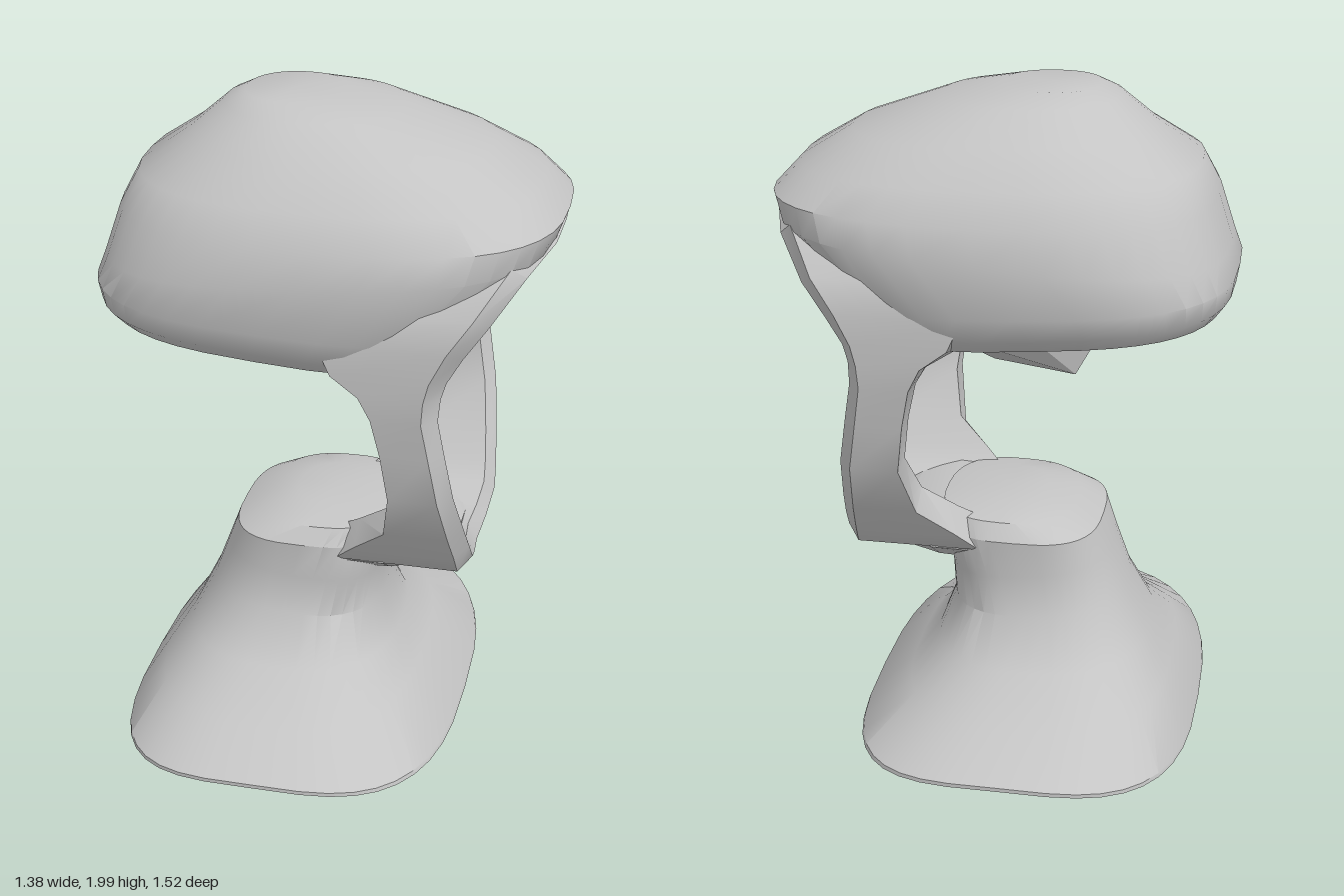
import * as THREE from 'three';
import { toCreasedNormals } from 'three/addons/utils/BufferGeometryUtils.js';
import { ConvexGeometry } from 'three/addons/geometries/ConvexGeometry.js';

const SIDES = 40;

// Skin a list of closed cross-sections and cap both ends.
function loft(rings, crease = 0.6) {
  const n = rings[0].length;
  const pos = rings.flat(2);
  const index = [];
  for (let i = 0; i < rings.length - 1; i++) {
    for (let j = 0; j < n; j++) {
      const k = (j + 1) % n;
      const a = i * n + j, b = i * n + k, c = a + n, d = b + n;
      index.push(a, c, b, b, c, d);
    }
  }
  const cap = (start, flip) => {
    const centre = pos.length / 3;
    const sum = [0, 0, 0];
    for (let j = 0; j < n; j++) for (let c = 0; c < 3; c++) sum[c] += pos[(start + j) * 3 + c] / n;
    pos.push(...sum);
    for (let j = 0; j < n; j++) {
      const a = start + j, b = start + (j + 1) % n;
      index.push(centre, flip ? b : a, flip ? a : b);
    }
  };
  cap(0, false);
  cap((rings.length - 1) * n, true);
  const g = new THREE.BufferGeometry();
  g.setAttribute('position', new THREE.Float32BufferAttribute(pos, 3));
  g.setIndex(index);
  return toCreasedNormals(g, crease);
}

// Rounded-rectangle slice, tilted from its back height to its front height.
// A dent pulls the middle of the front edge inwards.
function slice(xb, yb, xf, yf, zh, power = 2.5, dent = 0) {
  const ring = [];
  for (let j = 0; j < SIDES; j++) {
    const t = (j / SIDES) * Math.PI * 2;
    const c = Math.cos(t), s = Math.sin(t);
    const u = Math.sign(c) * Math.abs(c) ** (2 / power);
    const v = Math.sign(s) * Math.abs(s) ** (2 / power);
    const pull = u > 0 ? dent * Math.max(0, 1 - (v / 0.85) ** 2) : 0;
    ring.push([
      (xb + xf) / 2 + (u * (xf - xb)) / 2 - pull,
      (yb + yf) / 2 + (u * (yf - yb)) / 2,
      v * zh,
    ]);
  }
  return ring;
}

// Slice whose height arches along x, for the foot of the bust.
function archedSlice(xb, xf, zh, lift = 0) {
  return slice(xb, 0, xf, 0, zh, 2.9).map(([x, , z]) =>
    [x, 0.07 + lift - 0.06 * ((x + 0.095) / 0.525) ** 2, z]);
}

export function createModel() {
  const model = new THREE.Group();
  const clay = new THREE.MeshStandardMaterial({ color: 0xc4c4c4 });
  clay.name = 'grey clay';
  const add = (name, geometry) => {
    const mesh = new THREE.Mesh(geometry, clay);
    mesh.name = name;
    model.add(mesh);
  };

  // Skull with overhanging brow and hollowed forehead
  add('skull', loft([
    slice(-0.65, 1.375, 0.38, 1.29, 0.47, 3),
    slice(-0.68, 1.42, 0.4, 1.33, 0.515, 3, 0.02),
    slice(-0.69, 1.48, 0.47, 1.41, 0.54, 3, 0.06),
    slice(-0.665, 1.55, 0.66, 1.63, 0.548, 2.9),
    slice(-0.62, 1.69, 0.685, 1.7, 0.525, 2.8),
    slice(-0.57, 1.79, 0.61, 1.78, 0.47, 2.6),
    slice(-0.43, 1.885, 0.46, 1.87, 0.37, 2.3),
    slice(-0.33, 1.97, 0.2, 1.965, 0.25, 2.2),
    slice(-0.27, 2.0, 0.02, 2.0, 0.16, 2.2),
  ]));

  // Face frame from the brow, down past the temple, to the chin:
  // [outer y, outer z, inner y, inner z, front x, back x]
  const half = [
    [1.69, 0, 1.625, 0, 0.675, 0.45],
    [1.68, 0.18, 1.615, 0.15, 0.668, 0.4],
    [1.64, 0.38, 1.57, 0.31, 0.61, 0.25],
    [1.52, 0.49, 1.46, 0.39, 0.525, 0.1],
    [1.42, 0.51, 1.36, 0.39, 0.455, 0.05],
    [1.33, 0.51, 1.29, 0.375, 0.41, 0.09],
    [1.27, 0.51, 1.25, 0.38, 0.395, 0.17],
    [1.2, 0.505, 1.19, 0.405, 0.39, 0.205],
    [1.08, 0.487, 1.08, 0.4, 0.41, 0.23],
    [0.93, 0.465, 0.94, 0.375, 0.435, 0.25],
    [0.76, 0.37, 0.81, 0.29, 0.455, 0.22],
    [0.67, 0.31, 0.73, 0.235, 0.465, 0.12],
    [0.6, 0.265, 0.675, 0.185, 0.47, 0.05],
    [0.545, 0.14, 0.635, 0.1, 0.46, 0.05],
    [0.52, 0, 0.62, 0, 0.45, 0.05],
  ];
  const mirrored = half.slice(0, -1).reverse().map(([yo, zo, yi, zi, f, b]) => [yo, -zo, yi, -zi, f, b]);
  add('faceFrame', loft([...half, ...mirrored].map(([yo, zo, yi, zi, f, b]) => [
    [b, yo, zo], [f - 0.04, yo, zo], [f, (yo + yi) / 2, (zo + zi) / 2], [f - 0.03, yi, zi], [b, yi, zi],
  ])));

  // Bar across the top of the face opening
  add('foreheadBar', loft([-0.42, 0.42].map((z) => [
    [0.38, 1.4, z], [0.4, 1.33, z], [0.37, 1.265, z], [0.2, 1.265, z], [0.2, 1.4, z],
  ]), 0.4));

  // Jaw joining the neck to the frame
  add('jaw', loft([
    [-0.05, 0.68, 0.5, 0.24], [0.2, 0.69, 0.52, 0.27], [0.32, 0.66, 0.53, 0.2], [0.4, 0.63, 0.54, 0.14],
  ].map(([x, top, bottom, z]) => [
    [x, top, z * 0.85], [x, top, -z * 0.85], [x, bottom + 0.08, -z],
    [x, bottom, -z * 0.55], [x, bottom, z * 0.55], [x, bottom + 0.08, z],
  ]), 0.5));

  // Wedge hanging beneath the skull
  add('palateWedge', new ConvexGeometry([
    [-0.34, 1.36, 0.1], [-0.34, 1.36, -0.12], [-0.05, 1.36, 0.22], [0.0, 1.36, -0.22],
    [0.17, 1.27, 0.12], [0.17, 1.25, -0.15], [-0.22, 1.14, -0.12], [0.06, 1.11, 0.05],
  ].map((p) => new THREE.Vector3(...p))));

  // Neck flaring into the shoulders, with an arched underside
  add('neckAndShoulders', loft([
    archedSlice(-0.36, 0.17, 0.38),
    archedSlice(-0.62, 0.43, 0.76),
    archedSlice(-0.617, 0.425, 0.76, 0.012),
    slice(-0.53, 0.16, 0.29, 0.155, 0.58, 2.7),
    slice(-0.46, 0.27, 0.215, 0.25, 0.4, 2.5),
    slice(-0.385, 0.42, 0.165, 0.38, 0.295, 2.5),
    slice(-0.335, 0.55, 0.17, 0.5, 0.28, 2.7),
    slice(-0.3, 0.64, 0.19, 0.64, 0.285, 3),
    slice(-0.22, 0.685, 0.2, 0.695, 0.25, 2.6),
    slice(-0.12, 0.715, 0.12, 0.71, 0.14, 2.2),
  ]));

  return model;
}
